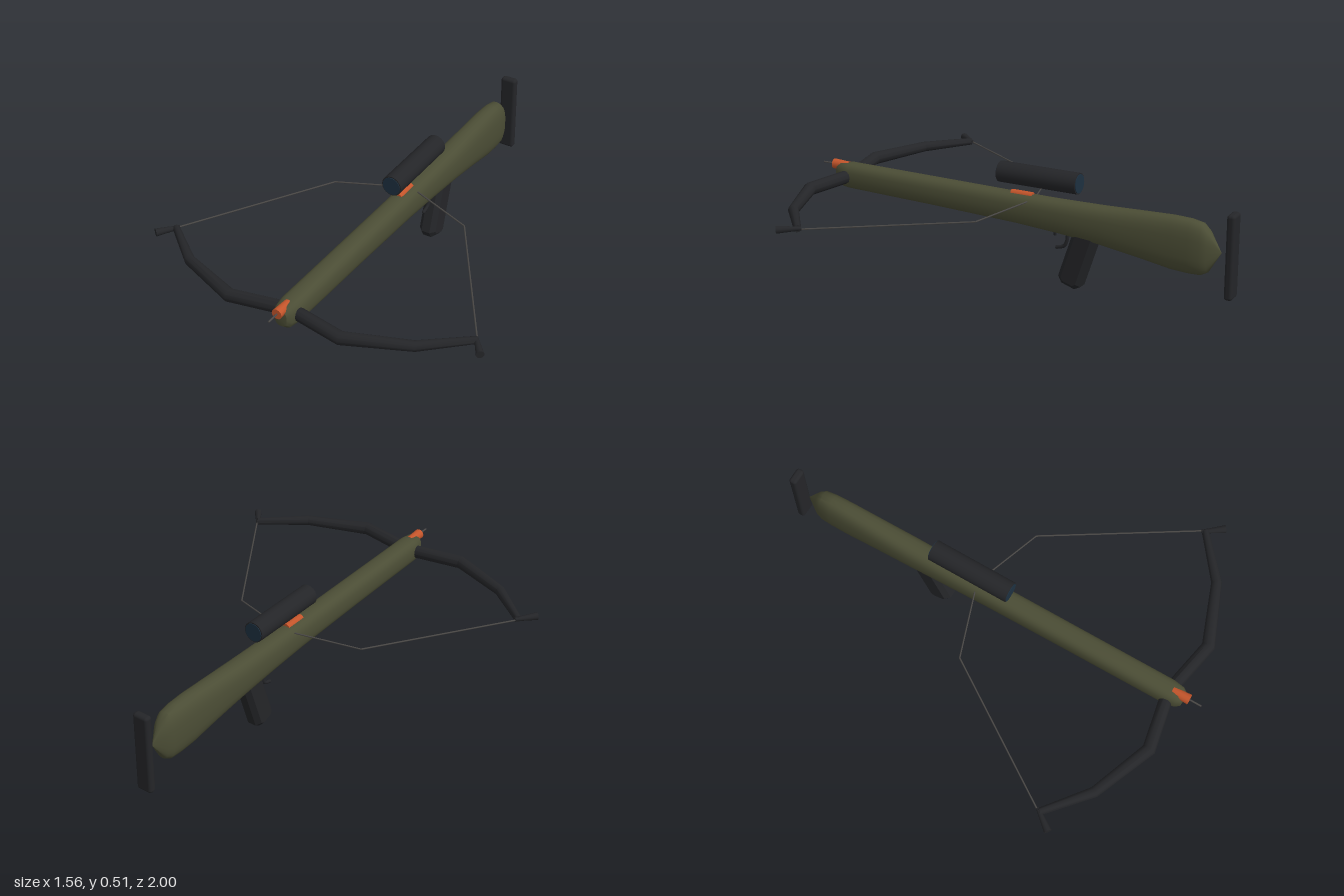
import * as THREE from 'three';
import { toCreasedNormals } from 'three/addons/utils/BufferGeometryUtils.js';
import { RoundedBoxGeometry } from 'three/addons/geometries/RoundedBoxGeometry.js';

const V = (x, y, z) => new THREE.Vector3(x, y, z);
const mat = (color) => new THREE.MeshStandardMaterial({ color });

// Sweep a superellipse along stations [x, y, z, halfWidth, halfHeight], mitred at each joint.
function sweep(stations, sides, power, crease) {
  const pos = [], index = [], up = V(0, 1, 0);
  const pts = stations.map((s) => V(s[0], s[1], s[2]));
  const last = pts.length - 1;
  const soft = (c) => Math.sign(c) * Math.pow(Math.abs(c), 2 / power);
  pts.forEach((p, i) => {
    const before = pts[Math.max(i - 1, 0)], after = pts[Math.min(i + 1, last)];
    const tIn = p.clone().sub(before).normalize(), tOut = after.clone().sub(p).normalize();
    const t = tIn.clone().add(tOut).setY(0).normalize();
    const n = up.clone().cross(t);
    for (let k = 0; k < sides; k++) {
      const a = (k / sides) * Math.PI * 2;
      const q = p.clone()
        .addScaledVector(n, soft(Math.cos(a)) * stations[i][3])
        .addScaledVector(up, soft(Math.sin(a)) * stations[i][4]);
      pos.push(q.x, q.y, q.z);
    }
  });
  for (let i = 0; i < last; i++) {
    for (let k = 0; k < sides; k++) {
      const k2 = (k + 1) % sides;
      const a = i * sides + k, b = i * sides + k2, c = a + sides, d = b + sides;
      index.push(a, b, d, a, d, c);
    }
  }
  const geo = new THREE.BufferGeometry();
  geo.setAttribute('position', new THREE.Float32BufferAttribute(pos, 3));
  geo.setIndex(index);
  return toCreasedNormals(geo, crease);
}

// Cylinder or cone running from one point to another.
function rod(a, b, r0, r1, sides) {
  const geo = new THREE.CylinderGeometry(r1, r0, a.distanceTo(b), sides);
  const dir = b.clone().sub(a).normalize();
  geo.applyQuaternion(new THREE.Quaternion().setFromUnitVectors(V(0, 1, 0), dir));
  const mid = a.clone().add(b).multiplyScalar(0.5);
  return geo.translate(mid.x, mid.y, mid.z);
}

export function createModel() {
  const model = new THREE.Group();
  const olive = mat(0x4b4d35), black = mat(0x242528), orange = mat(0xc4552b);
  const steel = mat(0x4a4846), glass = mat(0x1d3040);
  const add = (name, geo, material) => {
    const mesh = new THREE.Mesh(geo, material);
    mesh.name = name;
    model.add(mesh);
    return mesh;
  };

  // Stock: [z, bottom, top, half width], from the pointed butt to the blunt nose
  const stock = [
    [-0.935, 0.278, 0.278, 0], [-0.88, 0.185, 0.365, 0.037], [-0.852, 0.17, 0.392, 0.046],
    [-0.8, 0.169, 0.402, 0.05], [-0.72, 0.174, 0.405, 0.052], [-0.58, 0.198, 0.4, 0.053],
    [-0.4, 0.225, 0.393, 0.055], [-0.2, 0.243, 0.39, 0.053], [0, 0.256, 0.39, 0.051],
    [0.4, 0.27, 0.394, 0.05], [0.85, 0.282, 0.398, 0.05], [0.9, 0.288, 0.394, 0.042],
    [0.92, 0.305, 0.38, 0.028], [0.925, 0.34, 0.34, 0],
  ].map(([z, lo, hi, w]) => [0, (lo + hi) / 2, z, w, (hi - lo) / 2]);
  add('stock', sweep(stock, 24, 2.7, 0.7), olive);

  // Bow limbs: one half is listed and mirrored through the riser
  const half = [
    [0.26, 0.9, 0.029], [0.53, 0.795, 0.023], [0.715, 0.642, 0.016], [0.715, 0.642, 0],
  ];
  const limb = (side) => half.map(([x, z, r]) => [side * x, 0.34, z, r, r]);
  // nudge the end caps outward so that each keeps a clear direction
  const left = limb(1), right = limb(-1);
  left[3][0] += 0.001; left[3][2] -= 0.001;
  right[3][0] -= 0.001; right[3][2] -= 0.001;
  add('bowLimbs', sweep([...right.reverse(), [0, 0.34, 0.85, 0.028, 0.03], ...left], 10, 2, 0.65), black);

  // Limb tips and bowstring
  for (const s of [1, -1]) {
    const side = s > 0 ? 'left' : 'right';
    add(side + 'LimbTip', rod(V(s * 0.705, 0.34, 0.63), V(s * 0.768, 0.34, 0.713), 0.008, 0.017, 10), black);
    const path = [V(s * 0.72, 0.338, 0.645), V(s * 0.32, 0.35, 0.028), V(0, 0.372, -0.078)];
    for (let i = 0; i < 2; i++) {
      add(side + 'String' + (i + 1), rod(path[i], path[i + 1], 0.0035, 0.0035, 6), steel);
    }
  }

  // Bolt lying in the stock, with its coloured collar and nock
  add('boltShaft', rod(V(0, 0.38, -0.06), V(0, 0.38, 1), 0.004, 0.004, 8), steel);
  add('boltCollar', rod(V(0, 0.38, 0.865), V(0, 0.38, 0.945), 0.019, 0.023, 12), orange);
  add('boltNock', rod(V(0, 0.383, -0.07), V(0, 0.383, 0.03), 0.018, 0.018, 12), orange);

  // Scope with a lens at each end
  add('scopeTube', rod(V(0, 0.473, -0.29), V(0, 0.473, 0.085), 0.046, 0.046, 20), black);
  add('frontLens', rod(V(0, 0.473, 0.08), V(0, 0.473, 0.088), 0.041, 0.041, 20), glass);
  add('rearLens', rod(V(0, 0.473, -0.293), V(0, 0.473, -0.285), 0.041, 0.041, 20), glass);

  // Butt plate
  const plate = add('buttPlate', new RoundedBoxGeometry(0.074, 0.366, 0.036, 3, 0.013), black);
  plate.position.set(0, 0.272, -0.98);

  // Raked pistol grip with chamfered edges
  const bevel = 0.02;
  const outline = new THREE.Shape([
    [-0.036, 0.13], [-0.036, -0.1], [-0.024, -0.112], [0.024, -0.112], [0.036, -0.1], [0.036, 0.13],
  ].map(([x, y]) => new THREE.Vector2(x, y)));
  const gripGeo = new THREE.ExtrudeGeometry(outline, {
    depth: 0.04, bevelEnabled: true, bevelThickness: bevel, bevelSize: bevel, bevelSegments: 1,
  });
  gripGeo.translate(0, 0, -0.02).rotateY(Math.PI / 2).rotateX(-0.32);
  const grip = add('grip', gripGeo, black);
  grip.position.set(0, 0.14, -0.292);

  // Curved trigger
  const bend = new THREE.CatmullRomCurve3([
    V(0, 0.25, -0.238), V(0, 0.215, -0.236), V(0, 0.186, -0.222), V(0, 0.174, -0.188),
  ]);
  add('trigger', new THREE.TubeGeometry(bend, 12, 0.008, 8), black);
  add('triggerTip', new THREE.SphereGeometry(0.008, 8, 6), black).position.set(0, 0.174, -0.188);
  add('safetyStud', rod(V(0, 0.26, -0.18), V(0, 0.226, -0.178), 0.01, 0.006, 8), black);

  return model;
}
